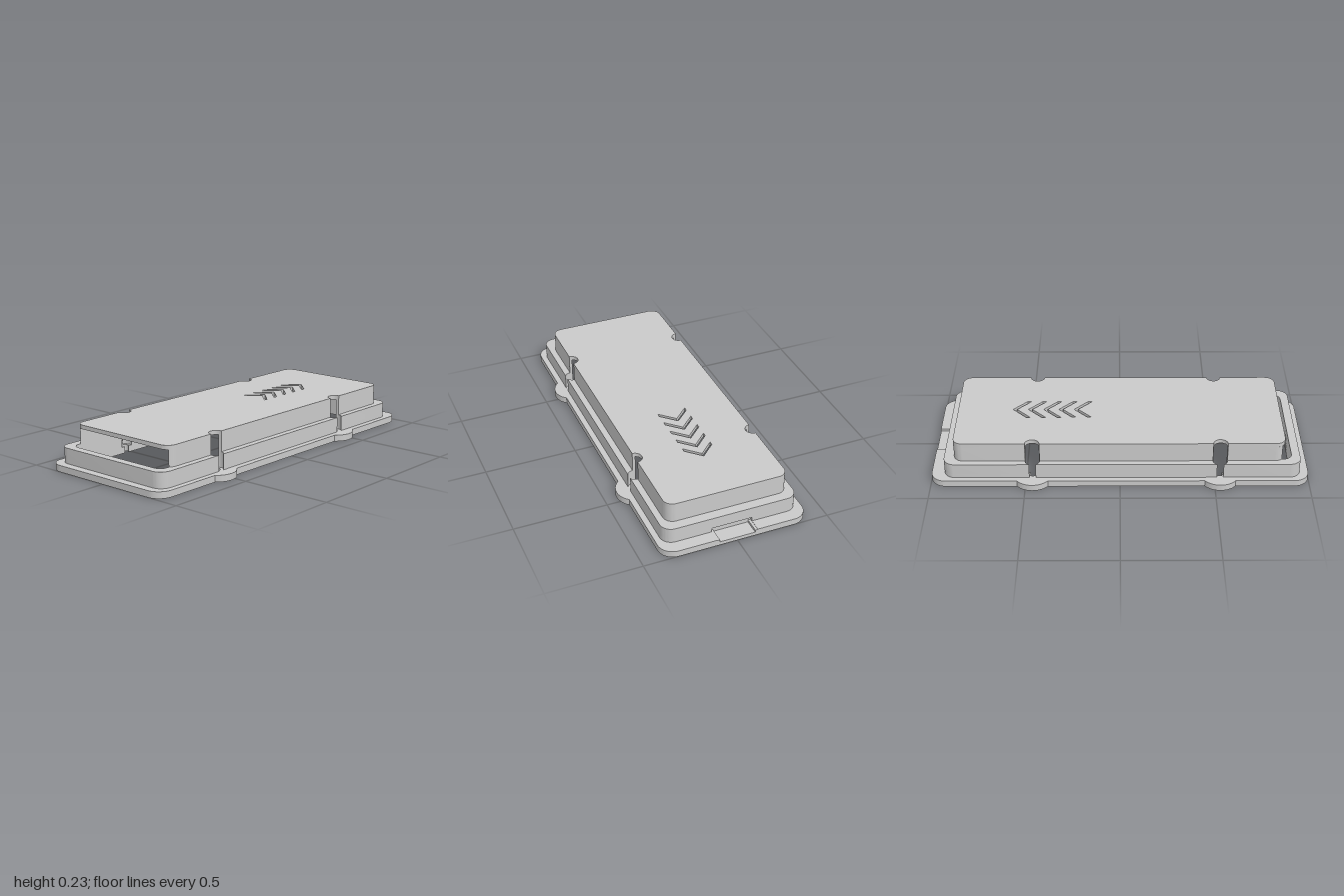
import * as THREE from 'three';
import { toCreasedNormals } from 'three/addons/utils/BufferGeometryUtils.js';

const SCREW_X = [0.462, -0.528]; // screw columns, from +x to -x
const SCREW_Z = 0.33;
const BORE = 0.038;              // radius of the screw head bore
const INNER_Z = 0.315;           // half depth of the cavity
const LOWER_Z = 0.364;           // half depth of the lower step
const CAVITY = { left: -0.91, right: 0.86, radius: 0.045 };
const Y = { recess: 0.02, lip: 0.033, base: 0.035, slot: 0.057, ledge: 0.118, lid: 0.205, top: 0.227 };

const mirrorZ = (pts) => pts.map(([x, z]) => [x, -z]).reverse();

function arc(cx, cz, r, a0, a1, n = 12) {
  return Array.from({ length: n + 1 }, (_, i) => {
    const a = a0 + ((a1 - a0) * i) / n;
    return [cx + r * Math.cos(a), cz + r * Math.sin(a)];
  });
}

// Rounded rectangle with arcs round the screws along both long edges,
// and an optional notch in the +x edge.
function outline(left, right, z, radius, screwR, inward, notch) {
  const pts = notch ? [[notch.x, notch.w], [right, notch.w]] : [];
  pts.push(...arc(right - radius, z - radius, radius, 0, Math.PI / 2));
  const a = Math.asin((z - SCREW_Z) / screwR);
  for (const x of SCREW_X) {
    pts.push(...arc(x, SCREW_Z, screwR, a, (inward ? -Math.PI : Math.PI) - a, 24));
  }
  pts.push(...arc(left + radius, z - radius, radius, Math.PI / 2, Math.PI));
  return pts.concat(mirrorZ(pts));
}

// Cut face left in a wall by the bore, from the inner to the outer side
function boreCut(x, side, outerZ) {
  const a0 = Math.asin((INNER_Z - SCREW_Z) / BORE);
  const a1 = Math.asin((outerZ - SCREW_Z) / BORE);
  return arc(0, 0, BORE, a0, a1).map(([u, v]) => [x + side * u, SCREW_Z + v]);
}

// Straight wall between the two bores
const middleWall = (outerZ) =>
  boreCut(SCREW_X[1], 1, outerZ).concat(boreCut(SCREW_X[0], -1, outerZ).reverse());

// U-shaped wall round one end; side is the direction of that end
function endWall(side, screwX, outerX, innerX, outerZ, radius, notch) {
  const flip = (pts) => pts.map(([x, z]) => [x * side, z]);
  const outer = boreCut(screwX, side, outerZ).concat(
    flip(arc(Math.abs(outerX) - radius, outerZ - radius, radius, Math.PI / 2, 0)));
  if (notch) outer.push([outerX, notch.w], [notch.x, notch.w]);
  const r = CAVITY.radius;
  const inner = flip(arc(Math.abs(innerX) - r, INNER_Z - r, r, 0, Math.PI / 2));
  return [...outer, ...mirrorZ(outer), ...mirrorZ(inner), ...inner];
}

export function createModel() {
  const model = new THREE.Group();
  model.name = 'enclosureCover';
  const grey = new THREE.MeshStandardMaterial({ color: 0xcacaca });
  grey.name = 'grey';

  // Upright slab from a plan outline between two heights; holes run the other way round
  function slab(name, pts, y0, y1, holes = []) {
    const toVec = (list) => list.map(([x, z]) => new THREE.Vector2(x, -z));
    const shape = new THREE.Shape(toVec(pts));
    holes.forEach((h) => shape.holes.push(new THREE.Path(toVec(h).reverse())));
    const geo = new THREE.ExtrudeGeometry(shape, { depth: y1 - y0, bevelEnabled: false });
    geo.rotateX(-Math.PI / 2).translate(0, y0, 0);
    const mesh = new THREE.Mesh(toCreasedNormals(geo, 0.5), grey);
    mesh.name = name;
    model.add(mesh);
  }

  // Base flange with screw ears, open in the middle, with a stepped recess at the +x end
  const slot = { x: 0.915, w: 0.11 };
  const opening = outline(CAVITY.left, CAVITY.right, INNER_Z, CAVITY.radius, 0.02, false);
  const flange = (notch) => outline(-1, 1, 0.395, 0.08, 0.104, false, notch);
  slab('flangeBottom', flange(), 0, Y.recess, [opening]);
  slab('flangeMiddle', flange({ x: slot.x, w: 0.096 }), Y.recess, Y.lip, [opening]);
  slab('flangeTop', flange(slot), Y.lip, Y.base, [opening]);

  // Lower step, with a shallow latch slot at the +x end
  slab('lowerEndLeft', endWall(1, SCREW_X[0], 0.932, CAVITY.right, LOWER_Z, 0.06, slot), Y.base, Y.slot);
  slab('lowerEndLeftUpper', endWall(1, SCREW_X[0], 0.932, CAVITY.right, LOWER_Z, 0.06), Y.slot, Y.ledge);
  slab('lowerEndRight', endWall(-1, SCREW_X[1], -0.955, CAVITY.left, LOWER_Z, 0.06), Y.base, Y.ledge);

  // Upper step, closed only at the +x end
  const r = 0.052;
  slab('upperEndLeft', endWall(1, SCREW_X[0], 0.879, CAVITY.right, SCREW_Z, r), Y.ledge, Y.lid);

  // Side walls, mirrored front to back
  const stub = boreCut(SCREW_X[1], -1, SCREW_Z).concat(
    arc(-0.87 + r, SCREW_Z - r, r, Math.PI / 2, Math.PI - Math.asin((INNER_Z - SCREW_Z + r) / r)));
  for (const [label, place] of [['front', (p) => p], ['back', mirrorZ]]) {
    slab(label + 'LowerWall', place(middleWall(LOWER_Z)), Y.base, Y.ledge);
    slab(label + 'UpperWall', place(middleWall(SCREW_Z)), Y.ledge, Y.lid);
    slab(label + 'UpperWallStub', place(stub), Y.ledge, Y.lid);
  }

  // Lid with bore notches and five slim cut-out chevrons pointing to +x
  const chevrons = Array.from({ length: 5 }, (_, i) => {
    const x = 0.152 + i * 0.083;
    return [[x, -0.078], [x + 0.022, -0.078], [x + 0.097, 0],
      [x + 0.022, 0.078], [x, 0.078], [x + 0.075, 0]];
  });
  slab('lid', outline(-0.87, 0.879, SCREW_Z, r, BORE, true), Y.lid, Y.top, chevrons);

  return model;
}
